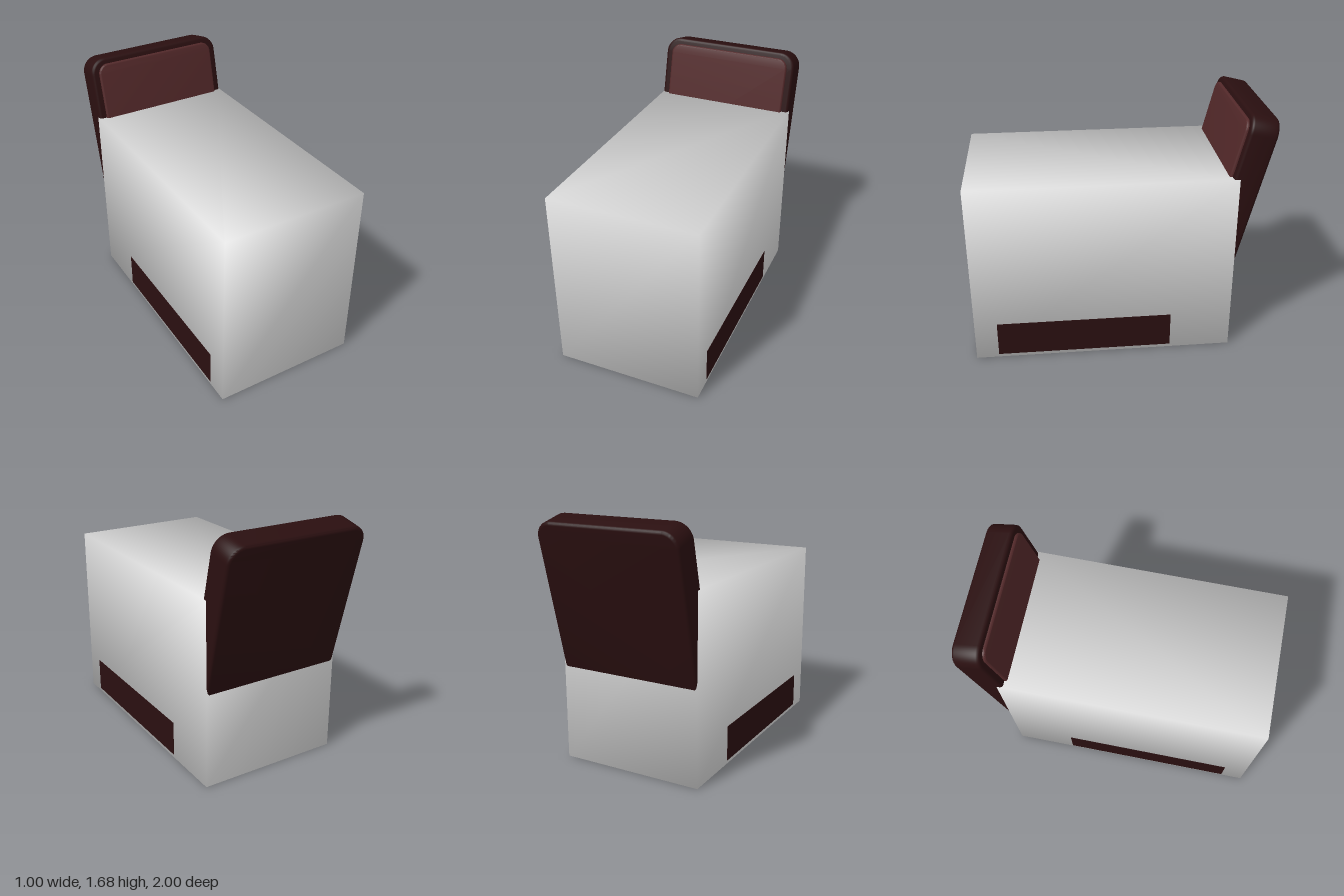
import * as THREE from 'three';
import { mergeVertices, toCreasedNormals } from 'three/addons/utils/BufferGeometryUtils.js';

const material = (name, color) => Object.assign(new THREE.MeshStandardMaterial({ color }), { name });

function add(parent, name, geometry, mat, x = 0, y = 0, z = 0) {
  const mesh = new THREE.Mesh(geometry, mat);
  mesh.name = name;
  mesh.position.set(x, y, z);
  parent.add(mesh);
  return mesh;
}

// Box whose eight corners share averaged normals
function smoothBox(w, h, d) {
  const box = new THREE.BoxGeometry(w, h, d);
  box.deleteAttribute('normal');
  box.deleteAttribute('uv');
  const merged = mergeVertices(box);
  merged.computeVertexNormals();
  return merged;
}

// Upright cushion: top edge at y = 0, back at z = 0, rounded corners and rims
function cushion(w, h, depth, radius, bevel) {
  const x = w / 2 - bevel, top = -bevel, bottom = bevel - h, r = radius - bevel;
  const shape = new THREE.Shape();
  shape.moveTo(-x, bottom);
  shape.lineTo(x, bottom);
  shape.lineTo(x, top - r);
  shape.absarc(x - r, top - r, r, 0, Math.PI / 2);
  shape.lineTo(-x + r, top);
  shape.absarc(-x + r, top - r, r, Math.PI / 2, Math.PI);
  shape.closePath();
  const geometry = new THREE.ExtrudeGeometry(shape, {
    depth: depth - 2 * bevel, bevelSize: bevel, bevelThickness: bevel, bevelSegments: 3, curveSegments: 8,
  });
  geometry.translate(0, 0, bevel);
  return toCreasedNormals(geometry, 0.7);
}

export function createModel() {
  const model = new THREE.Group();
  model.name = 'seat';
  const shell = material('pale grey', 0xe2e2e2);
  const frame = material('dark maroon', 0x2a0f10);
  const padding = material('maroon', 0x522829);

  // Main block
  add(model, 'body', smoothBox(1, 1.268, 1.76), shell, 0, 0.636, 0.12);

  // Leaning backrest with a padded front
  const backrest = new THREE.Group();
  backrest.name = 'backrest';
  backrest.position.set(0, 1.637, -1.003);
  backrest.rotation.x = -0.242;
  model.add(backrest);
  add(backrest, 'backrestFrame', cushion(0.999, 1.08, 0.187, 0.11, 0.02), frame);
  add(backrest, 'backrestPad', cushion(0.9, 0.8, 0.06, 0.07, 0.012), padding, 0, -0.043, 0.145);

  // Side rails
  for (const side of [1, -1]) {
    add(model, side > 0 ? 'leftRail' : 'rightRail', new THREE.BoxGeometry(0.008, 0.245, 1.19), frame,
      side * 0.498, 0.147, 0.253);
  }

  // Base plate under the block
  add(model, 'basePlate', new THREE.BoxGeometry(0.94, 0.008, 1.32), frame, 0, 0.004, 0.24);

  return model;
}
